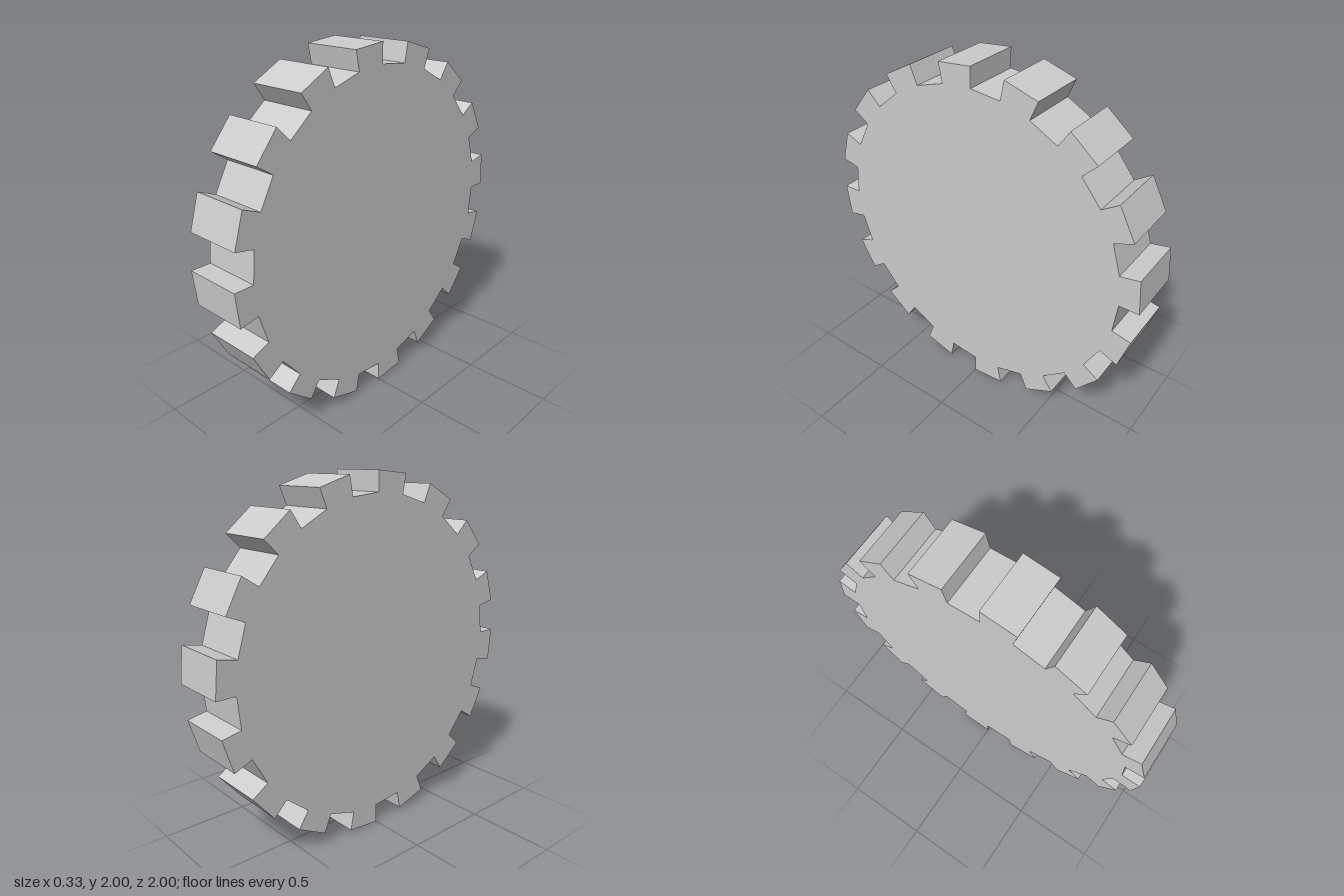
import * as THREE from 'three';

const TEETH = 16;
const TIP = 1;
const ROOT = 0.89;
const WIDTH = 0.333;

// Outline with flat tooth tips, flat gaps and radial flanks
function gearShape() {
  const points = [];
  const step = Math.PI / TEETH;
  const add = (radius, angle) =>
    points.push(new THREE.Vector2(-radius * Math.sin(angle), radius * Math.cos(angle)));
  for (let i = 0; i < TEETH; i++) {
    const start = 2 * i * step;
    add(ROOT, start);
    add(TIP, start);
    add(TIP, start + step);
    add(ROOT, start + step);
  }
  return new THREE.Shape(points);
}

export function createModel() {
  const group = new THREE.Group();
  group.name = 'gear';

  // Solid toothed wheel, its axle along x
  const geometry = new THREE.ExtrudeGeometry(gearShape(), { depth: WIDTH, bevelEnabled: false });
  geometry.translate(0, 0, -WIDTH / 2);
  geometry.rotateY(Math.PI / 2);

  const wheel = new THREE.Mesh(
    geometry,
    new THREE.MeshStandardMaterial({ color: 0xcccccc, flatShading: true })
  );
  wheel.name = 'toothedWheel';
  wheel.position.y = TIP;
  group.add(wheel);
  return group;
}
